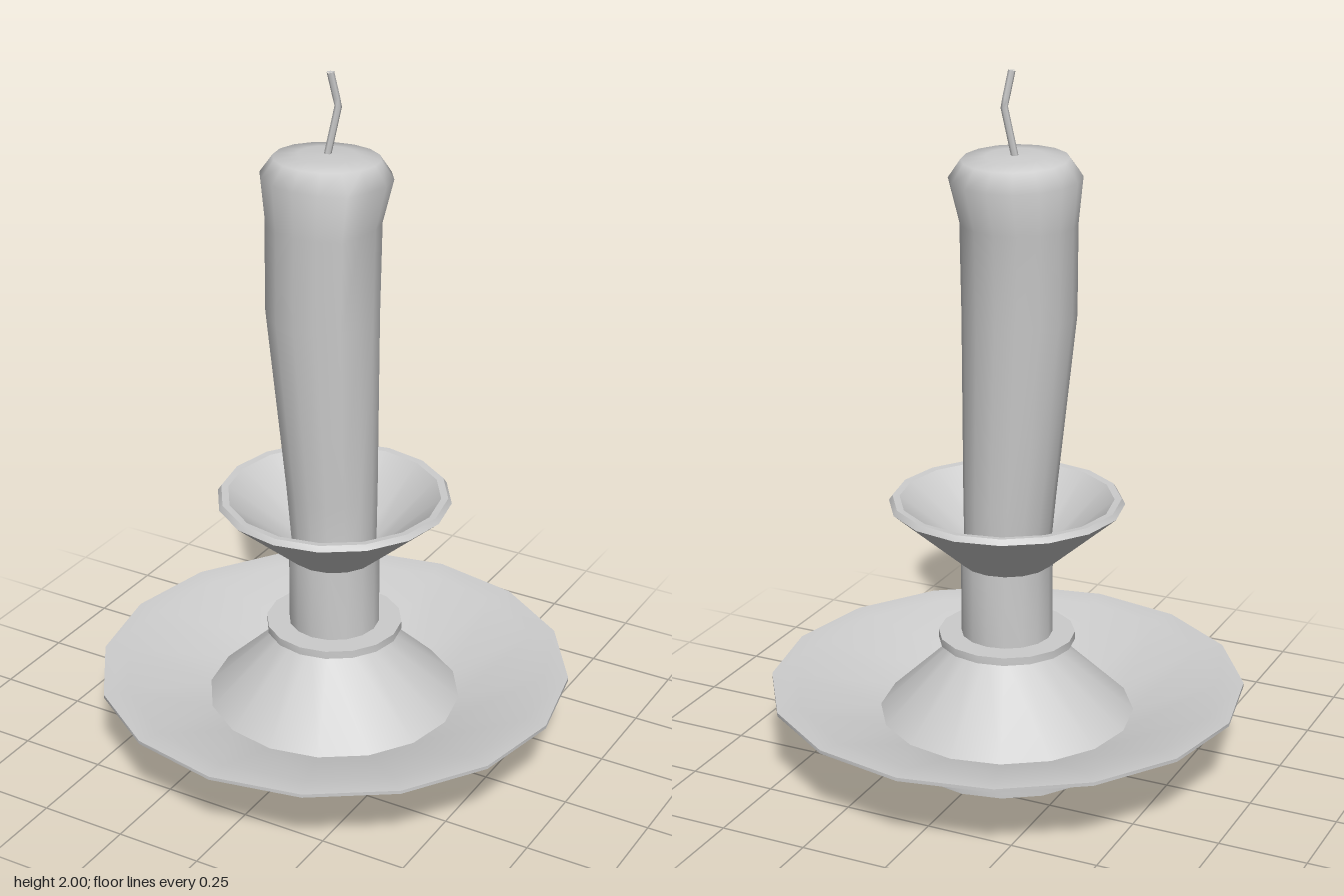
import * as THREE from 'three';
import { toCreasedNormals } from 'three/addons/utils/BufferGeometryUtils.js';

const SIDES = 16;

// Turned part: profile runs counter-clockwise (up the outside, down the inside)
function turned(name, profile, material) {
  const points = profile.map(([r, y]) => new THREE.Vector2(r, y));
  const geometry = toCreasedNormals(new THREE.LatheGeometry(points, SIDES), 0.6);
  const mesh = new THREE.Mesh(geometry, material);
  mesh.name = name;
  return mesh;
}

// Leaning candle: rings of [height, centre x, centre z, radius, drip bulge, tilt]
function candleGeometry() {
  const rings = [
    [0.60, 0, 0, 0.12, 0, 0],
    [0.80, -0.012, -0.007, 0.13, 0, 0],
    [1.33, -0.04, -0.005, 0.158, 0.03, 0],
    [1.59, -0.045, -0.02, 0.16, 0.03, 0],
    [1.715, -0.037, -0.024, 0.181, 0.025, 0.05],
    [1.765, -0.037, -0.026, 0.146, 0, 0.05],
    [1.773, -0.037, -0.028, 0.08, 0, 0.05],
    [1.775, -0.037, -0.03, 0, 0, 0],
  ];
  const positions = [], index = [];
  for (const [y, cx, cz, r, drip, tilt] of rings) {
    for (let i = 0; i < SIDES; i++) {
      const a = (i / SIDES) * Math.PI * 2;
      const bulge = drip * Math.exp(-Math.pow((a - 0.87) / 0.3, 2));
      const z = Math.sin(a) * (r + bulge);
      positions.push(cx + Math.cos(a) * (r + bulge), y + tilt * z, cz + z);
    }
  }
  for (let j = 0; j < rings.length - 1; j++) {
    for (let i = 0; i < SIDES; i++) {
      const a = j * SIDES + i, b = j * SIDES + ((i + 1) % SIDES);
      index.push(a, a + SIDES, b, b, a + SIDES, b + SIDES);
    }
  }
  const geometry = new THREE.BufferGeometry();
  geometry.setAttribute('position', new THREE.Float32BufferAttribute(positions, 3));
  geometry.setIndex(index);
  geometry.computeVertexNormals();
  return geometry;
}

export function createModel() {
  const group = new THREE.Group();
  group.name = 'candlestick';
  const grey = new THREE.MeshStandardMaterial({ color: 0xcccccc });
  grey.name = 'plain grey';

  // Foot: flange with a shallow recess underneath, and a short pedestal
  group.add(turned('foot', [
    [0, 0.045], [0.195, 0.045], [0.195, 0], [0.295, 0], [0.295, 0.022],
    [0.2, 0.022], [0.2, 0.07],
  ], grey));

  // Wide drip saucer with a thin rim
  group.add(turned('saucer', [
    [0.195, 0.062], [0.22, 0.065], [0.62, 0.215], [0.68, 0.222], [0.68, 0.232],
    [0.61, 0.228], [0.36, 0.14], [0.2, 0.085],
  ], grey));

  // Conical base, collar and stem
  group.add(turned('cone', [[0.365, 0.142], [0.135, 0.362]], grey));
  group.add(turned('collar', [
    [0.12, 0.36], [0.195, 0.36], [0.195, 0.383], [0.12, 0.383],
  ], grey));
  group.add(turned('stem', [[0.13, 0.38], [0.13, 0.605]], grey));

  // Flared cup holding the candle
  group.add(turned('cup', [
    [0.125, 0.6], [0.13, 0.6], [0.332, 0.775], [0.322, 0.79], [0.302, 0.788],
    [0.12, 0.625], [0, 0.625],
  ], grey));

  const candle = new THREE.Mesh(candleGeometry(), grey);
  candle.name = 'candle';
  group.add(candle);

  // Bent wick
  const bends = [[-0.04, 1.76, -0.029], [-0.014, 1.905, -0.046], [-0.028, 2.0, -0.029]]
    .map((p) => new THREE.Vector3(...p));
  const path = new THREE.CurvePath();
  path.add(new THREE.LineCurve3(bends[0], bends[1]));
  path.add(new THREE.LineCurve3(bends[1], bends[2]));
  const wick = new THREE.Mesh(new THREE.TubeGeometry(path, 10, 0.01, 6), grey);
  wick.name = 'wick';
  group.add(wick);
  const tip = new THREE.Mesh(new THREE.CircleGeometry(0.01, 6), grey);
  tip.name = 'wickTip';
  tip.rotation.x = -Math.PI / 2;
  tip.position.copy(bends[2]);
  group.add(tip);

  return group;
}
